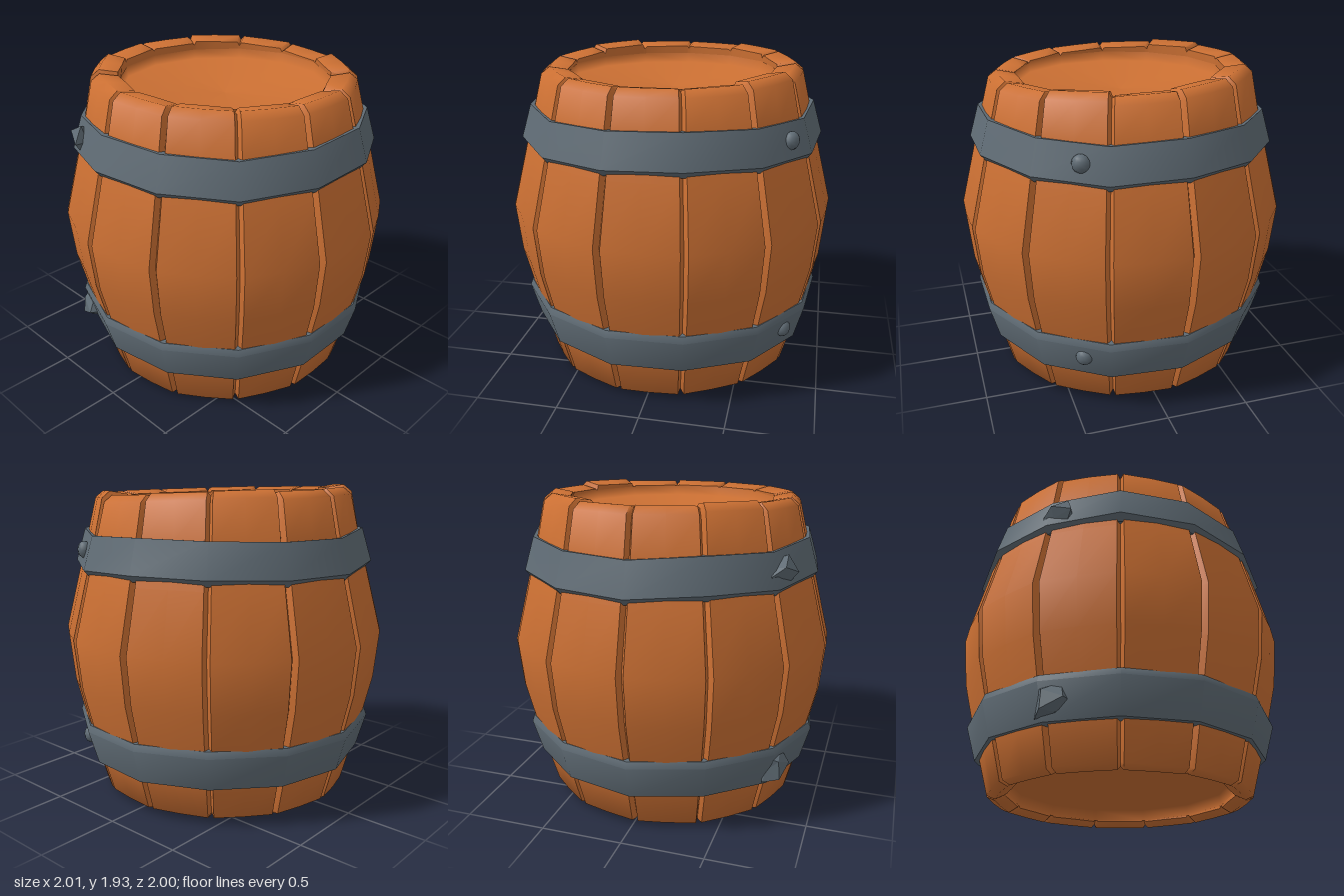
import * as THREE from 'three';
import { toCreasedNormals } from 'three/addons/utils/BufferGeometryUtils.js';

const wood = new THREE.MeshStandardMaterial({ color: 0xcc7033, side: THREE.DoubleSide });
wood.name = 'wood';
const iron = new THREE.MeshStandardMaterial({ color: 0x5f6b74 });
iron.name = 'iron';

const COUNT = 13;
const STEP = (Math.PI * 2) / COUNT;
const START = -0.02;

// Small seeded generator for hand-made unevenness, -1 to 1
let seed = 11;
const rand = () => {
  seed = (seed * 16807) % 2147483647;
  return (seed / 2147483647) * 2 - 1;
};

// Angles run from the back (-z) towards +x
const place = (r, y, a) => [r * Math.sin(a), y, -r * Math.cos(a)];

function add(group, geometry, material, name) {
  const mesh = new THREE.Mesh(geometry, material);
  mesh.name = name;
  group.add(mesh);
  return mesh;
}

// Surface through a grid of points: columns of rows
function gridGeometry(cols, crease, closed = false) {
  const rows = cols[0].length;
  const index = [];
  const n = closed ? cols.length : cols.length - 1;
  for (let j = 0; j < n; j++) {
    const j2 = (j + 1) % cols.length;
    for (let k = 0; k < rows - 1; k++) {
      const a = j * rows + k, c = j2 * rows + k;
      index.push(a, a + 1, c, c, a + 1, c + 1);
    }
  }
  const g = new THREE.BufferGeometry();
  g.setAttribute('position', new THREE.Float32BufferAttribute(cols.flat(2), 3));
  g.setIndex(index);
  return toCreasedNormals(g, crease);
}

// Stave profile: radius, height, notch depth, end (-1 bottom, 1 top)
const STAVE = [
  [0.69, 0.18, 0, 0], [0.69, 0.03, 0, -1], [0.75, 0.0, 0.01, -1], [0.8, 0.02, 0.035, -1],
  [0.86, 0.25, 0.035, 0], [0.925, 0.5, 0.035, 0], [0.98, 0.73, 0.035, 0], [1.01, 1.03, 0.035, 0],
  [0.915, 1.4, 0.035, 0], [0.85, 1.65, 0.035, 0], [0.8, 1.86, 0.035, 1], [0.75, 1.9, 0.02, 1],
  [0.64, 1.88, 0, 1], [0.65, 1.7, 0, 0],
];

function stave(i) {
  const mid = START + (i + 0.5) * STEP;
  const lift = rand() * 0.014;
  const cols = [-1, -0.91, 0, 0.91, 1].map((t) => {
    const a = mid + (t * STEP) / 2;
    const edge = Math.abs(t) === 1;
    return STAVE.map(([r, y, notch, end]) => {
      const inner = r < 0.7;
      const bulge = t === 0 ? (inner ? Math.cos(STEP / 2) : 0.985) : 1;
      // ends lean slightly; the seams sit lower than the stave ends
      let dy = 0;
      if (end > 0) dy = 0.028 * Math.cos(a) + (edge ? -0.025 : lift);
      if (end < 0) dy = 0.012 + 0.012 * Math.sin(a) + (edge ? 0.02 : 0);
      return place((r - (edge ? notch : 0)) * bulge, y + dy, a);
    });
  });
  return gridGeometry(cols, 1.05);
}

// Hoop profiles, from bottom inside round to top inside
const HOOPS = [
  { name: 'lowerHoop', profile: [[0.78, 0.24], [0.89, 0.25], [0.95, 0.46], [0.935, 0.5], [0.82, 0.5]] },
  { name: 'upperHoop', profile: [[0.8, 1.42], [0.9, 1.42], [0.935, 1.46], [0.875, 1.66], [0.78, 1.65]] },
];

function hoop(profile) {
  const cols = [];
  for (let i = 0; i < COUNT; i++) {
    const dy = rand() * 0.014;
    cols.push(profile.map(([r, y]) => place(r, y + dy, START + i * STEP)));
  }
  return gridGeometry(cols, 0.75, true);
}

// Recessed end boards, aligned with the stave seams
function endBoard(points) {
  return new THREE.LatheGeometry(points.map(([r, y]) => new THREE.Vector2(r, y)), COUNT, Math.PI - START);
}

// Torn scrap of hoop metal: a lump with pulled-out corners
function scrapGeometry() {
  const g = new THREE.IcosahedronGeometry(1, 0);
  const p = g.attributes.position;
  const pulls = new Map();
  for (let i = 0; i < p.count; i++) {
    const key = [p.getX(i), p.getY(i), p.getZ(i)].map((v) => v.toFixed(2)).join();
    if (!pulls.has(key)) pulls.set(key, 1 + 0.5 * rand());
    const s = pulls.get(key);
    p.setXYZ(i, p.getX(i) * s, p.getY(i) * s, p.getZ(i) * s);
  }
  g.computeVertexNormals();
  return g;
}

export function createModel() {
  seed = 11;
  const barrel = new THREE.Group();
  barrel.name = 'barrel';

  // Staves
  for (let i = 0; i < COUNT; i++) add(barrel, stave(i), wood, `stave${i + 1}`);

  // Lid and base
  add(barrel, endBoard([[0.64, 1.85], [0.63, 1.79], [0, 1.74]]), wood, 'lid');
  add(barrel, endBoard([[0, 0.17], [0.68, 0.13], [0.69, 0.06]]), wood, 'base');

  // Iron hoops
  for (const { name, profile } of HOOPS) add(barrel, hoop(profile), iron, name);

  // Rivets on the front right, torn fastenings on the back left
  for (const [label, y, r] of [['lower', 0.37, 0.895], ['upper', 1.55, 0.885]]) {
    const a = Math.PI - 1.05;
    const rivet = add(barrel, new THREE.SphereGeometry(0.052, 10, 8), iron, `${label}Rivet`);
    rivet.position.set(...place(r, y, a));
    rivet.rotation.y = Math.PI - a;
    rivet.scale.z = 0.8;

    const b = -1.02;
    const scrap = add(barrel, scrapGeometry(), iron, `${label}TornFastening`);
    scrap.position.set(...place(r, y - 0.02, b));
    scrap.rotation.y = Math.PI - b;
    scrap.scale.set(0.11, 0.08, 0.06);
  }
  return barrel;
}
